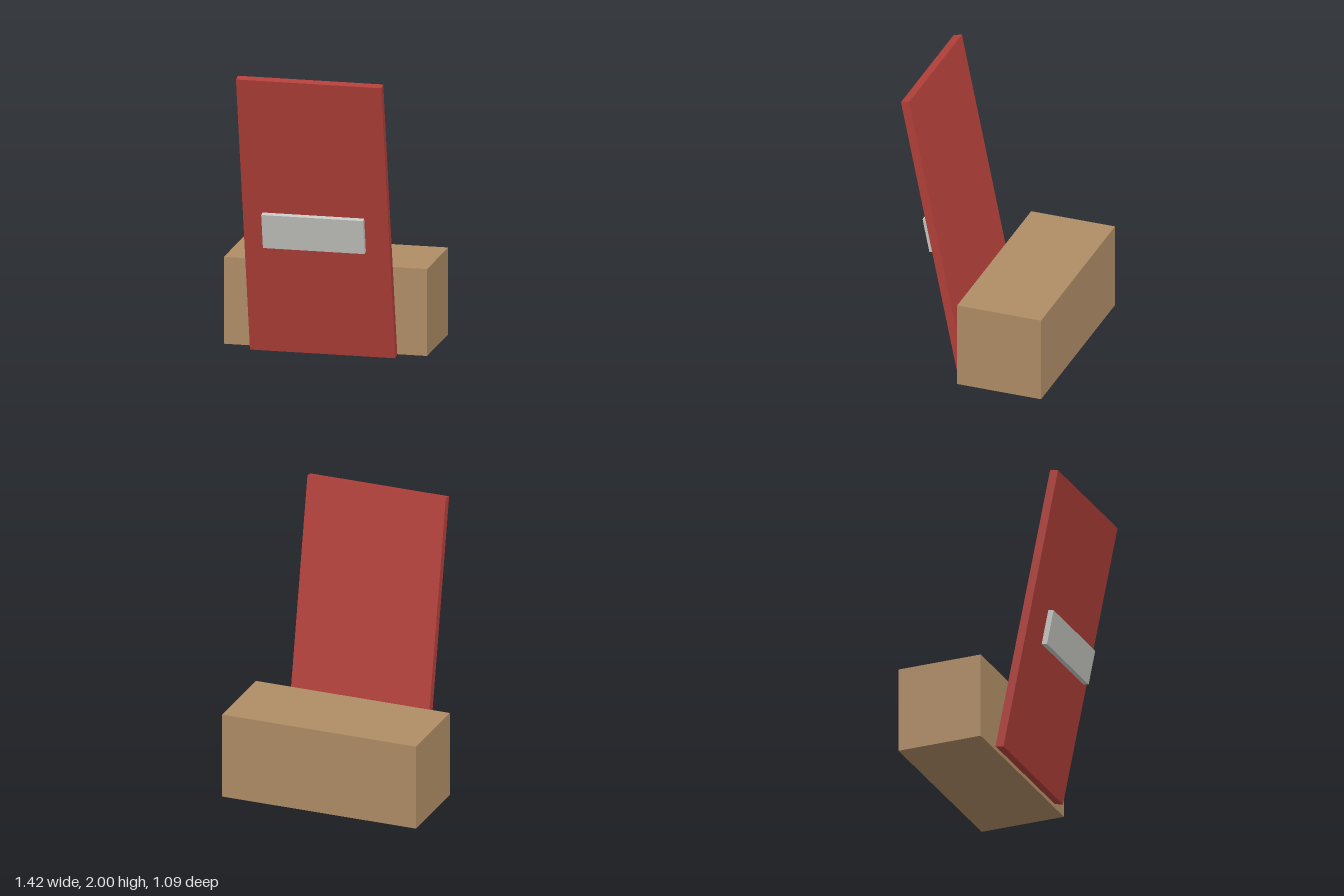
import * as THREE from 'three';

const material = (name, color) => {
  const m = new THREE.MeshStandardMaterial({ color });
  m.name = name;
  return m;
};

export function createModel() {
  const red = material('red', 0xb3403a);
  const tan = material('tan', 0xb08d66);
  const grey = material('light grey', 0xc8c8c4);
  const tilt = 0.2; // forward lean of the panel and its plate

  const model = new THREE.Group();
  const addBox = (name, mat, size, position, lean = 0) => {
    const mesh = new THREE.Mesh(new THREE.BoxGeometry(...size), mat);
    mesh.name = name;
    mesh.position.set(...position);
    mesh.rotation.x = lean;
    model.add(mesh);
  };

  // Solid block behind
  addBox('baseBlock', tan, [1.416, 0.607, 0.607], [0, 0.312, -0.242]);
  // Tall panel leaning forward
  addBox('leaningPanel', red, [1.012, 2.028, 0.06], [0, 1, 0.314], tilt);
  // Small plate floating parallel to the panel
  addBox('frontPlate', grey, [0.708, 0.248, 0.04], [0, 0.908, 0.402], tilt);

  return model;
}
